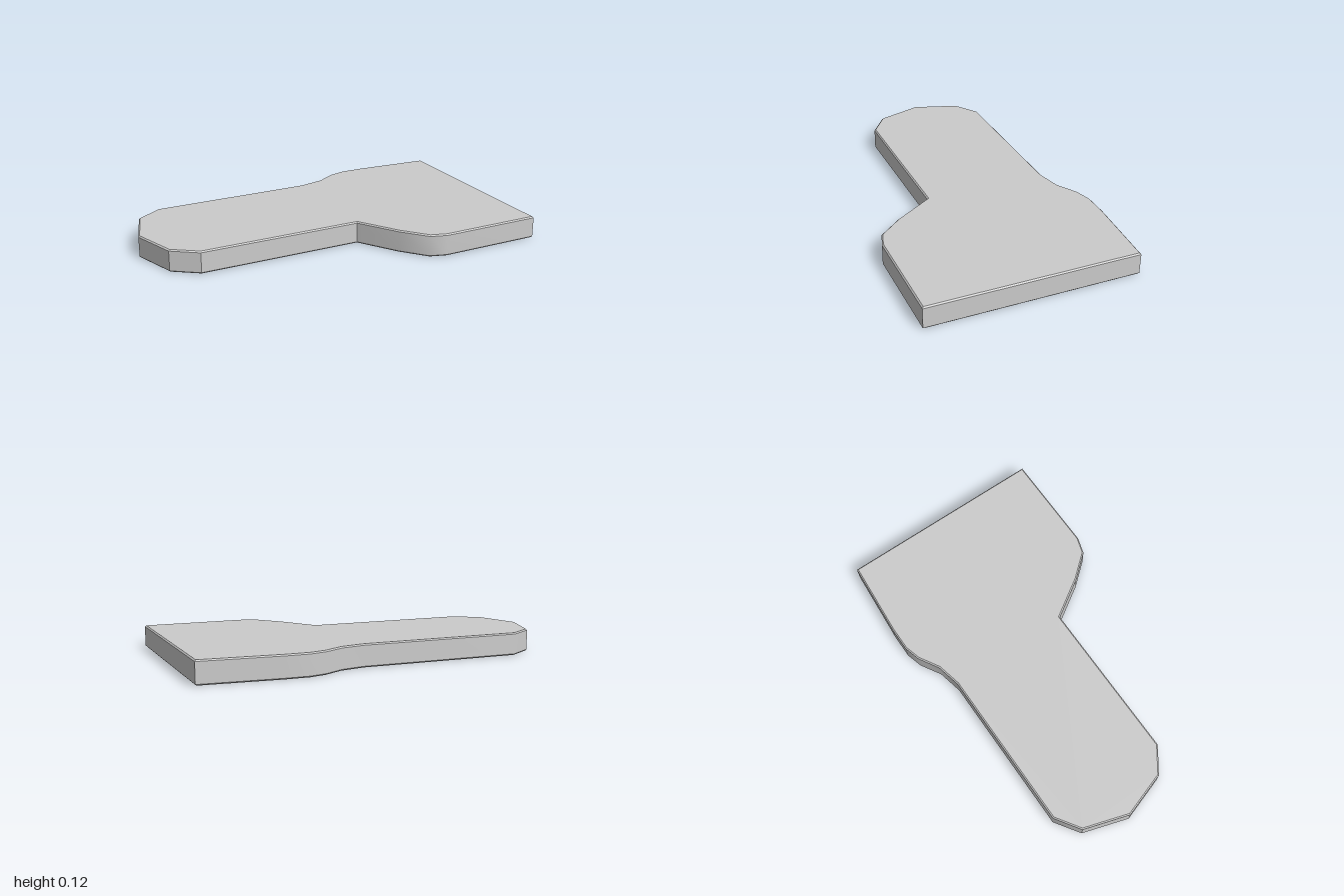
import * as THREE from 'three';
import { toCreasedNormals } from 'three/addons/utils/BufferGeometryUtils.js';

const HEIGHT = 0.122;
const BEVEL = 0.007;

// Plan outline as [x, z]
const OUTLINE = [
  // front edge, rounded end to wide end
  [-0.92, 0.12], [-0.785, 0.215], [0.105, 0.215], [0.24, 0.425],
  [0.35, 0.555], [0.44, 0.583], [1, 0.583],
  // back edge, wide end to rounded end
  [1, -0.555], [0.57, -0.585], [0.44, -0.585], [0.35, -0.56],
  [0.24, -0.495], [0.105, -0.465], [-0.785, -0.465], [-0.92, -0.375],
  // tip
  [-1, -0.127],
];

export function createModel() {
  const group = new THREE.Group();
  group.name = 'slab';

  // Shape y becomes -z once the slab is laid flat
  const shape = new THREE.Shape(OUTLINE.map(([x, z]) => new THREE.Vector2(x, -z)));
  const geometry = new THREE.ExtrudeGeometry(shape, {
    depth: HEIGHT - 2 * BEVEL,
    bevelEnabled: true,
    bevelThickness: BEVEL,
    bevelSize: BEVEL,
    bevelOffset: -BEVEL,
    bevelSegments: 1,
  });
  geometry.rotateX(-Math.PI / 2);
  geometry.translate(0, BEVEL, 0);

  // Flat plate with a narrow chamfer along its top and bottom edges
  const plate = new THREE.Mesh(
    toCreasedNormals(geometry, 0.6),
    new THREE.MeshStandardMaterial({ color: 0xcccccc })
  );
  plate.name = 'plate';
  group.add(plate);
  return group;
}
